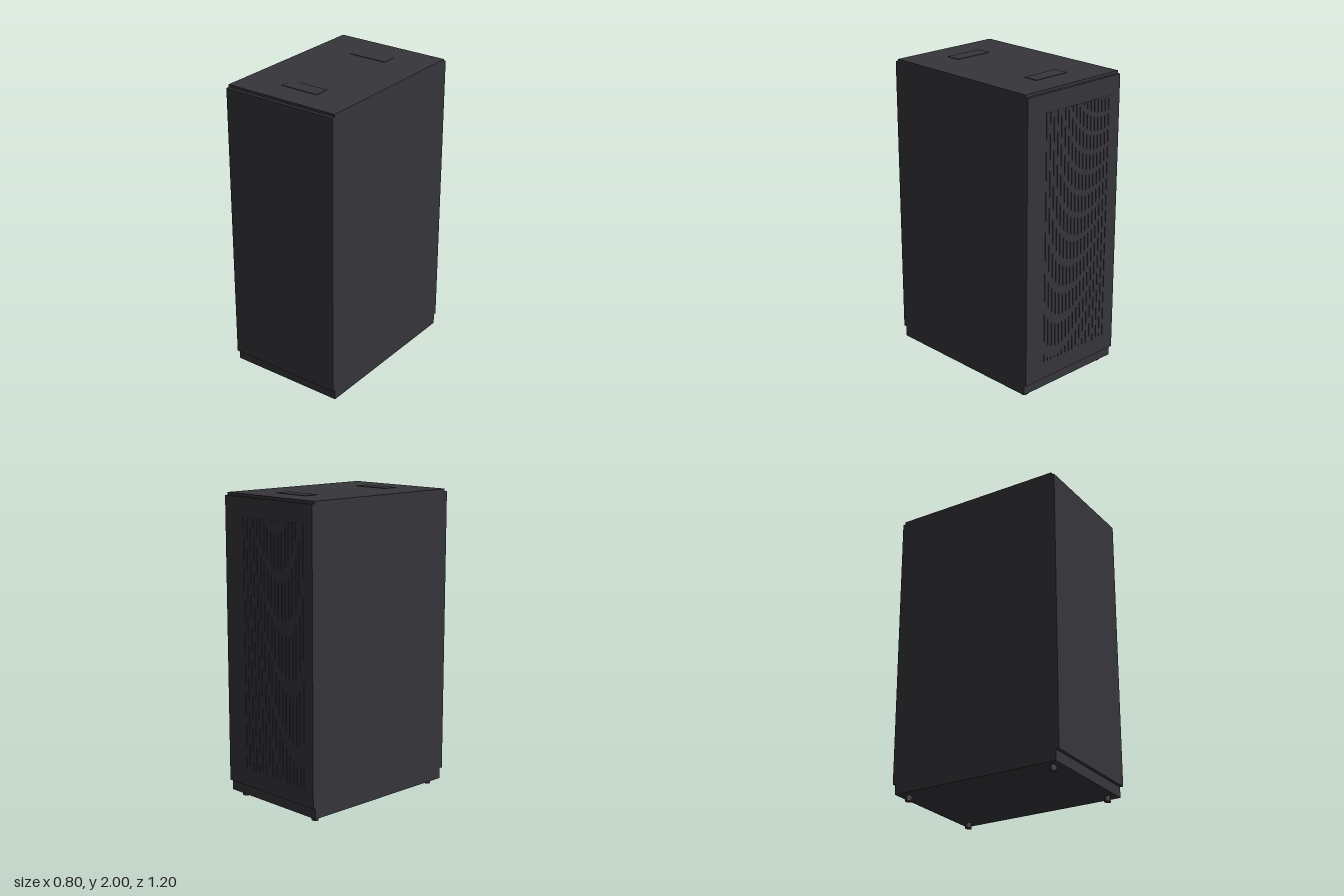
import * as THREE from 'three';

export function createModel() {
  const model = new THREE.Group();
  const charcoal = new THREE.MeshStandardMaterial({ color: 0x36353a });
  charcoal.name = 'charcoal metal';

  // Box given by its minimum and maximum corners
  function box(name, [x0, y0, z0], [x1, y1, z1], parent = model) {
    const mesh = new THREE.Mesh(new THREE.BoxGeometry(x1 - x0, y1 - y0, z1 - z0), charcoal);
    mesh.position.set((x0 + x1) / 2, (y0 + y1) / 2, (z0 + z1) / 2);
    mesh.name = name;
    parent.add(mesh);
  }

  // Cabinet with a door on the front and back
  box('cabinet', [-0.4, 0.035, -0.578], [0.4, 1.997, 0.578]);
  box('frontDoor', [-0.4, 0.105, 0.578], [0.4, 1.98, 0.6]);
  box('backDoor', [-0.4, 0.105, -0.597], [0.4, 1.98, -0.578]);

  // Cable cover plates on the roof
  for (const z of [-0.35, 0.35]) {
    box('roofPlate', [-0.133, 1.996, z - 0.05], [0.133, 2, z + 0.05]);
  }

  // Upright vent slats on the back door
  const vent = new THREE.Group();
  vent.name = 'backVent';
  model.add(vent);
  for (let i = 0; i < 18; i++) {
    const x = -0.32 + i * 0.032;
    box('ventSlat', [x, 0.22, -0.6], [x + 0.02, 1.86, -0.596], vent);
  }

  // Oval feet at the corners
  const footShape = new THREE.CylinderGeometry(0.026, 0.026, 0.037, 24);
  footShape.scale(1, 1, 0.75);
  for (const x of [-0.333, 0.333]) {
    for (const z of [-0.52, 0.52]) {
      const foot = new THREE.Mesh(footShape, charcoal);
      foot.position.set(x, 0.0185, z);
      foot.name = 'foot';
      model.add(foot);
    }
  }
  return model;
}
